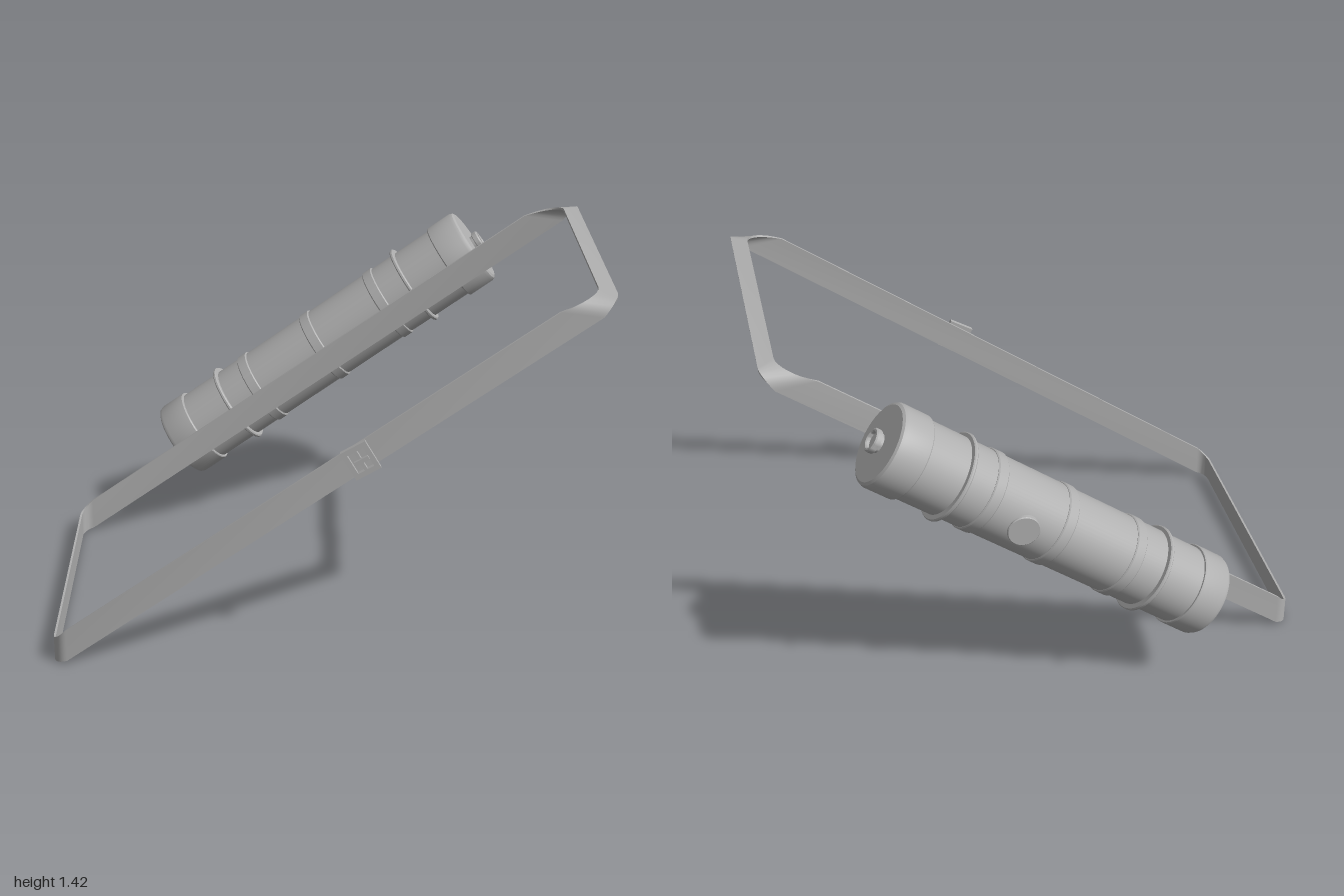
import * as THREE from 'three';
import { toCreasedNormals } from 'three/addons/utils/BufferGeometryUtils.js';

const TILT = 0.617; // slope of the whole model
const grey = new THREE.MeshStandardMaterial({ color: 0xb0b0b0 });
grey.name = 'plain grey';

function add(parent, name, geometry, x = 0, y = 0, z = 0) {
  const mesh = new THREE.Mesh(geometry, grey);
  mesh.name = name;
  mesh.position.set(x, y, z);
  parent.add(mesh);
  return mesh;
}

function lathe(points, segments = 64) {
  const pts = points.map(([r, y]) => new THREE.Vector2(r, y));
  return toCreasedNormals(new THREE.LatheGeometry(pts, segments), 0.5);
}

// Collar: a closed raised ring around the tube
function collar(radius, width, bevel = 0.004, inner = 0.14) {
  const h = width / 2;
  return lathe([[inner, -h], [radius - bevel, -h], [radius, -h + bevel],
    [radius, h - bevel], [radius - bevel, h], [inner, h]]);
}

// Strap: lower and upper edge for each station round the loop
function strapGeometry() {
  const mid = 0.146, half = 0.549, thick = 0.008, N = 8;
  const side = [];
  const push = (a, b) => side.push([new THREE.Vector3(...a), new THREE.Vector3(...b)]);
  for (let i = 0; i <= N; i++) { // low corner, end band upright
    const t = (i / N) * Math.PI / 2, s = Math.cos(t), inset = 0.05 * (1 - Math.sin(t));
    push([-0.95 - 0.05 * s, 0.015 - 0.015 * s, half - inset],
      [-0.95 - 0.05 * s, 0.14 - 0.045 * s, half - inset]);
  }
  for (let i = 0; i <= N; i++) { // high corner, end band lying flat
    const t = (i / N) * Math.PI / 2, s = Math.sin(t), c = 1 - Math.cos(t);
    push([0.95 + 0.05 * s, 1.345 + 0.07 * s, half - 0.05 * c],
      [0.8 + 0.14 * s, 1.365 + 0.055 * s, half - 0.1 * c]);
  }
  const flip = v => new THREE.Vector3(v.x, v.y, -v.z);
  const loop = [...side, ...side.slice().reverse().map(p => p.map(flip))];
  const n = loop.length;
  const sections = loop.map(([a, b], i) => {
    const p = loop[(i + n - 1) % n], q = loop[(i + 1) % n];
    const along = q[0].clone().add(q[1]).sub(p[0]).sub(p[1]);
    const inward = b.clone().sub(a).cross(along).normalize().multiplyScalar(thick);
    return [a, b, b.clone().add(inward), a.clone().add(inward)];
  });
  // orient the offset towards the middle of the loop
  const probe = sections[N];
  if (probe[3].z > probe[0].z) {
    sections.forEach(s => {
      s[2].sub(s[1]).negate().add(s[1]);
      s[3].sub(s[0]).negate().add(s[0]);
    });
  }
  const position = [], index = [];
  sections.flat().forEach(v => position.push(v.x, v.y, v.z + mid));
  for (let i = 0; i < n; i++) {
    const j = (i + 1) % n;
    for (let k = 0; k < 4; k++) {
      const l = (k + 1) % 4;
      const a = i * 4 + k, b = j * 4 + k, c = j * 4 + l, d = i * 4 + l;
      index.push(a, b, c, a, c, d);
    }
  }
  const g = new THREE.BufferGeometry();
  g.setAttribute('position', new THREE.Float32BufferAttribute(position, 3));
  g.setIndex(index);
  return toCreasedNormals(g, 0.6);
}

function rect(target, x, y, w, h) {
  target.moveTo(x - w / 2, y - h / 2);
  target.lineTo(x + w / 2, y - h / 2);
  target.lineTo(x + w / 2, y + h / 2);
  target.lineTo(x - w / 2, y + h / 2);
  target.closePath();
  return target;
}

export function createModel() {
  const model = new THREE.Group();
  model.name = 'slungTube';

  // Carrying tube, built upright and then tilted
  const tube = new THREE.Group();
  tube.name = 'tube';
  tube.position.set(0.02, 0.763, -0.565);
  tube.rotation.z = TILT - Math.PI / 2;
  model.add(tube);

  add(tube, 'tubeBody', lathe([[0.15, -0.63], [0.15, 0.63]]));
  const cap = [[0.148, 0.615], [0.157, 0.615], [0.16, 0.619], [0.16, 0.722],
    [0.155, 0.734], [0.145, 0.74], [0, 0.74]];
  add(tube, 'upperCap', lathe(cap));
  add(tube, 'lowerCap', lathe(cap)).rotation.x = Math.PI;

  // Raised bands and thin flanges
  for (const y of [-0.315, 0, 0.315]) add(tube, 'band', collar(0.156, 0.045), 0, y, 0);
  for (const y of [-0.445, 0.445]) add(tube, 'flange', collar(0.169, 0.015), 0, y, -0.004);

  // Ring knob on the upper cap
  add(tube, 'capKnob', lathe([[0.036, 0.735], [0.036, 0.75], [0.045, 0.753], [0.045, 0.77],
    [0.041, 0.775], [0.034, 0.775], [0.03, 0.771], [0.03, 0.76], [0, 0.76]], 32));

  // Round badge set into the back of the tube
  const badge = add(tube, 'backDisc', lathe([[0.06, -0.03], [0.06, 0.017], [0.057, 0.02],
    [0, 0.02]], 40), 0, 0.155, -0.137);
  badge.rotation.x = -Math.PI / 2;

  // Looped strap
  add(model, 'strap', strapGeometry());

  // Buckle on the front run of the strap
  const buckle = new THREE.Group();
  buckle.name = 'buckle';
  buckle.position.set(0.12, 0.828, 0.709);
  buckle.rotation.z = 0.52;
  model.add(buckle);
  const frame = rect(new THREE.Shape(), 0, 0, 0.1, 0.118);
  for (const x of [-0.019, 0.019]) frame.holes.push(rect(new THREE.Path(), x, 0, 0.026, 0.08));
  add(buckle, 'buckleFrame', new THREE.ExtrudeGeometry(frame, { depth: 0.018, bevelEnabled: false }));
  add(buckle, 'bucklePin', new THREE.BoxGeometry(0.055, 0.016, 0.012), 0.005, 0, 0.021);

  return model;
}
